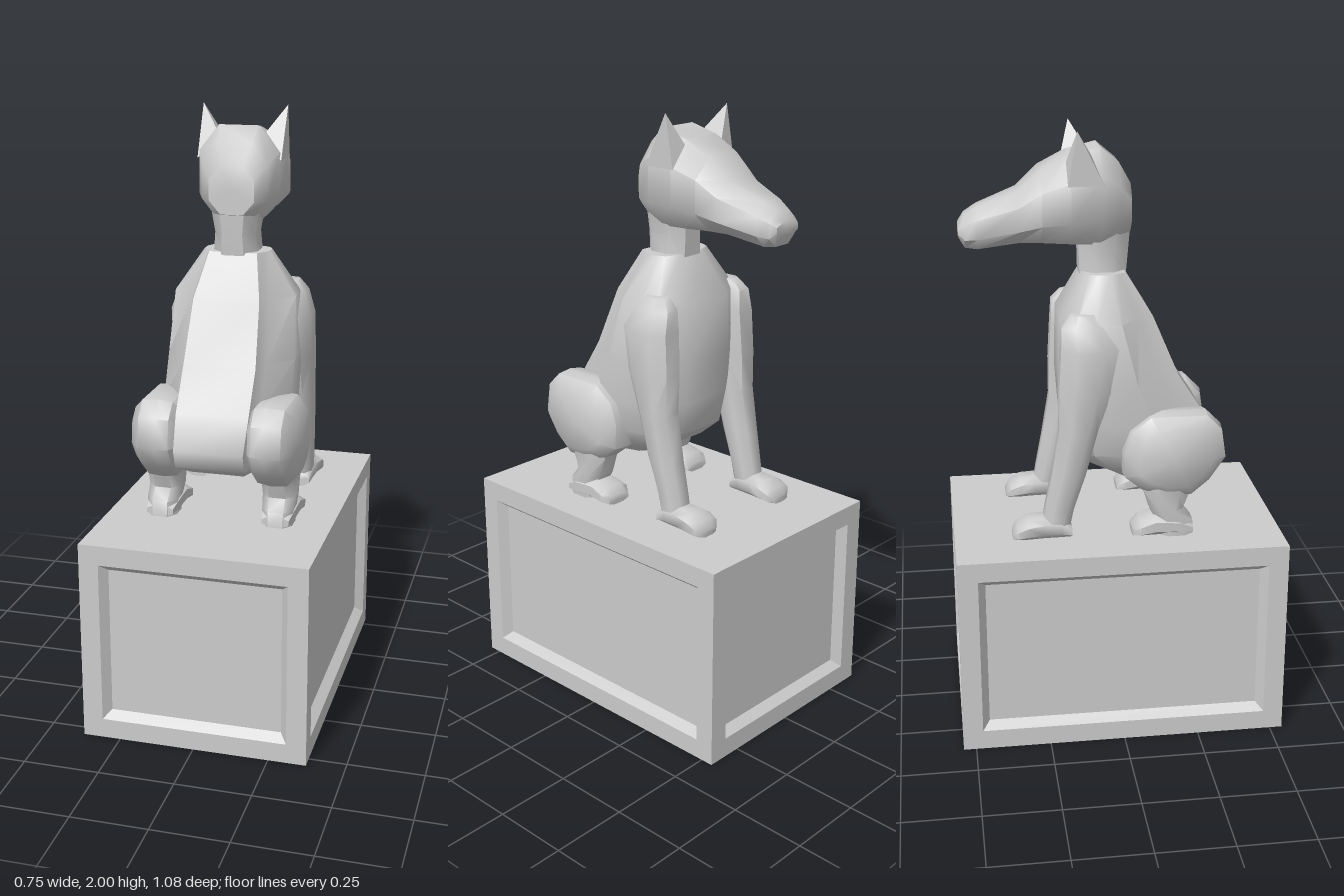
import * as THREE from 'three';
import { toCreasedNormals } from 'three/addons/utils/BufferGeometryUtils.js';

const V = (x, y, z) => new THREE.Vector3(x, y, z);
const solid = new THREE.MeshStandardMaterial({ color: 0xcccccc });
const sheet = new THREE.MeshStandardMaterial({ color: 0xcccccc, side: THREE.DoubleSide });
// Unit chamfered square used as a limb cross-section
const OCT = [[1, -.45], [1, .45], [.5, 1], [-.5, 1], [-1, .45], [-1, -.45], [-.5, -1], [.5, -1]];

// Skin a list of rings; closed skins are turned to face outward
function loft(rings, crease = 0.75, capStart = true, capEnd = true) {
  const n = rings[0].length, pts = rings.flat(), idx = [];
  for (let k = 0; k < rings.length - 1; k++) {
    for (let i = 0; i < n; i++) {
      const j = (i + 1) % n, a = k * n + i, b = k * n + j;
      idx.push([a, b, b + n], [a, b + n, a + n]);
    }
  }
  const cap = (k, flip) => {
    const c = pts.length, mid = V(0, 0, 0);
    rings[k].forEach(p => mid.addScaledVector(p, 1 / n));
    pts.push(mid);
    for (let i = 0; i < n; i++) {
      const a = k * n + i, b = k * n + (i + 1) % n;
      idx.push(flip ? [c, b, a] : [c, a, b]);
    }
  };
  if (capStart) cap(0, true);
  if (capEnd) cap(rings.length - 1, false);
  if (capStart && capEnd) {
    const volume = idx.reduce((s, [a, b, c]) => s + pts[a].dot(pts[b].clone().cross(pts[c])), 0);
    if (volume < 0) idx.forEach(t => t.reverse());
  }
  const g = new THREE.BufferGeometry().setFromPoints(pts);
  g.setIndex(idx.flat());
  return toCreasedNormals(g, crease);
}

function add(parent, name, geometry, material = solid) {
  const mesh = new THREE.Mesh(geometry, material);
  mesh.name = name;
  parent.add(mesh);
  return mesh;
}

// Horizontal rings [y, x, z, rx, rz]
const levels = (rows, s = 1) => rows.map(([y, x, z, rx, rz]) =>
  OCT.map(([u, v]) => V(s * (x + u * rx), y, z + v * rz)));
// Rings across the z axis [z, x, yBottom, yTop, rx]
const slices = (rows, s = 1) => rows.map(([z, x, y0, y1, rx]) =>
  OCT.map(([u, v]) => V(s * (x + u * rx), (y0 + y1) / 2 + v * (y1 - y0) / 2, z)));

// Open-bottomed box with a bevelled recessed panel in each wall
function makePedestal() {
  const group = new THREE.Group();
  group.name = 'pedestal';
  const W = .375, D = .542, H = .68;
  const rect = (hw, inset, z) => [[-1, -1], [1, -1], [1, 1], [-1, 1]].map(([u, v]) =>
    V(u * (hw - inset), H / 2 + v * (H / 2 - inset), z));
  for (let i = 0; i < 4; i++) {
    const [hw, dist] = i % 2 ? [D, W] : [W, D];
    const wall = add(group, 'panelledWall', loft(
      [rect(hw, 0, dist), rect(hw, .066, dist), rect(hw, .09, dist - .03)], .1, false, true), sheet);
    wall.rotation.y = i * Math.PI / 2;
  }
  const top = add(group, 'pedestalTop', new THREE.PlaneGeometry(2 * W, 2 * D), sheet);
  top.rotation.x = -Math.PI / 2;
  top.position.y = H;
  return group;
}

// Torso rings: y, front z, back z, side half-width, back half-width
function makeTorso() {
  const rows = [
    [1.54, -.10, .04, .11, .08], [1.40, -.175, .125, .205, .11], [1.20, -.18, .21, .215, .12],
    [1.06, -.17, .30, .215, .12], [.95, -.15, .35, .20, .115], [.89, -.08, .33, .17, .115], [.845, .0, .24, .12, .09],
  ];
  return loft(rows.map(([y, f, b, w, wb]) => {
    const d = b - f;
    const half = [[w * .45, f], [w * .88, f + d * .15], [w, f + d * .35], [w, f + d * .62], [wb * 1.15, f + d * .83], [wb, b]];
    return [...half.map(([x, z]) => V(x, y, z)), ...half.reverse().map(([x, z]) => V(-x, y, z))];
  }), .8);
}

function makeHead() {
  const group = new THREE.Group();
  group.name = 'head';
  add(group, 'skullAndMuzzle', loft(slices([
    [.06, 0, 1.665, 1.82, .075], [.02, 0, 1.64, 1.89, .11], [-.04, 0, 1.63, 1.94, .135],
    [-.14, 0, 1.635, 1.915, .14], [-.23, 0, 1.64, 1.87, .127], [-.30, 0, 1.64, 1.805, .108],
    [-.43, 0, 1.62, 1.755, .073], [-.47, 0, 1.625, 1.73, .062], [-.49, 0, 1.66, 1.70, .05],
  ]), .8));
  add(group, 'neck', loft(levels([
    [1.52, 0, -.03, .075, .075], [1.60, 0, -.027, .068, .08], [1.70, 0, -.025, .085, .085],
  ])));
  // Pointed four-sided ears
  for (const s of [1, -1]) {
    const base = [V(s * .07, 1.90, -.06), V(s * .14, 1.83, -.035), V(s * .142, 1.83, -.15), V(s * .085, 1.90, -.15)];
    const tip = V(s * .142, 2, -.12);
    add(group, 'ear', loft([base, base.map(() => tip.clone())], .1));
  }
  return group;
}

function makeFrontLeg(s) {
  const group = new THREE.Group();
  group.name = 'frontLeg';
  add(group, 'foreleg', loft(levels([
    [1.43, .165, -.11, .025, .04], [1.395, .172, -.105, .045, .075], [1.32, .178, -.092, .062, .092],
    [1.18, .182, -.107, .06, .085], [1.05, .185, -.13, .055, .062], [.90, .185, -.163, .05, .055],
    [.78, .183, -.195, .045, .047], [.70, .183, -.21, .042, .045],
  ], s), .9));
  add(group, 'frontPaw', loft(slices([
    [-.155, .183, .68, .72, .04], [-.19, .183, .68, .75, .045], [-.25, .183, .68, .755, .048],
    [-.30, .183, .68, .75, .058], [-.335, .183, .68, .73, .055], [-.35, .183, .68, .705, .035],
  ], s), .9));
  return group;
}

function makeHindLeg(s) {
  const group = new THREE.Group();
  group.name = 'hindLeg';
  // Thigh: one side outline (z, y) widened and narrowed across x
  const outline = [[.29, 1.10], [.10, 1.10], [.035, 1.05], [.01, .98], [.015, .89], [.07, .845],
    [.15, .82], [.24, .82], [.30, .87], [.355, .95], [.34, 1.05]];
  const across = [[.095, .6], [.135, .95], [.18, 1], [.235, .97], [.27, .7]];
  add(group, 'thigh', loft(across.map(([x, k]) => outline.map(([z, y]) =>
    V(s * x, .96 + (y - .96) * k, .18 + (z - .18) * k))), .8));
  add(group, 'hock', loft(levels([
    [.90, .193, .16, .06, .10], [.83, .195, .16, .058, .075], [.77, .195, .158, .055, .055],
    [.73, .197, .185, .052, .06], [.68, .197, .19, .05, .06],
  ], s), .9));
  add(group, 'hindPaw', loft(slices([
    [.245, .197, .68, .715, .045], [.20, .197, .68, .745, .055], [.12, .197, .68, .755, .057],
    [.07, .197, .68, .735, .062], [.045, .197, .68, .71, .045],
  ], s), .9));
  return group;
}

export function createModel() {
  const model = new THREE.Group();
  model.name = 'seatedDogOnPedestal';
  model.add(makePedestal());
  add(model, 'torso', makeTorso());
  model.add(makeHead());
  for (const s of [1, -1]) model.add(makeFrontLeg(s), makeHindLeg(s));
  return model;
}
